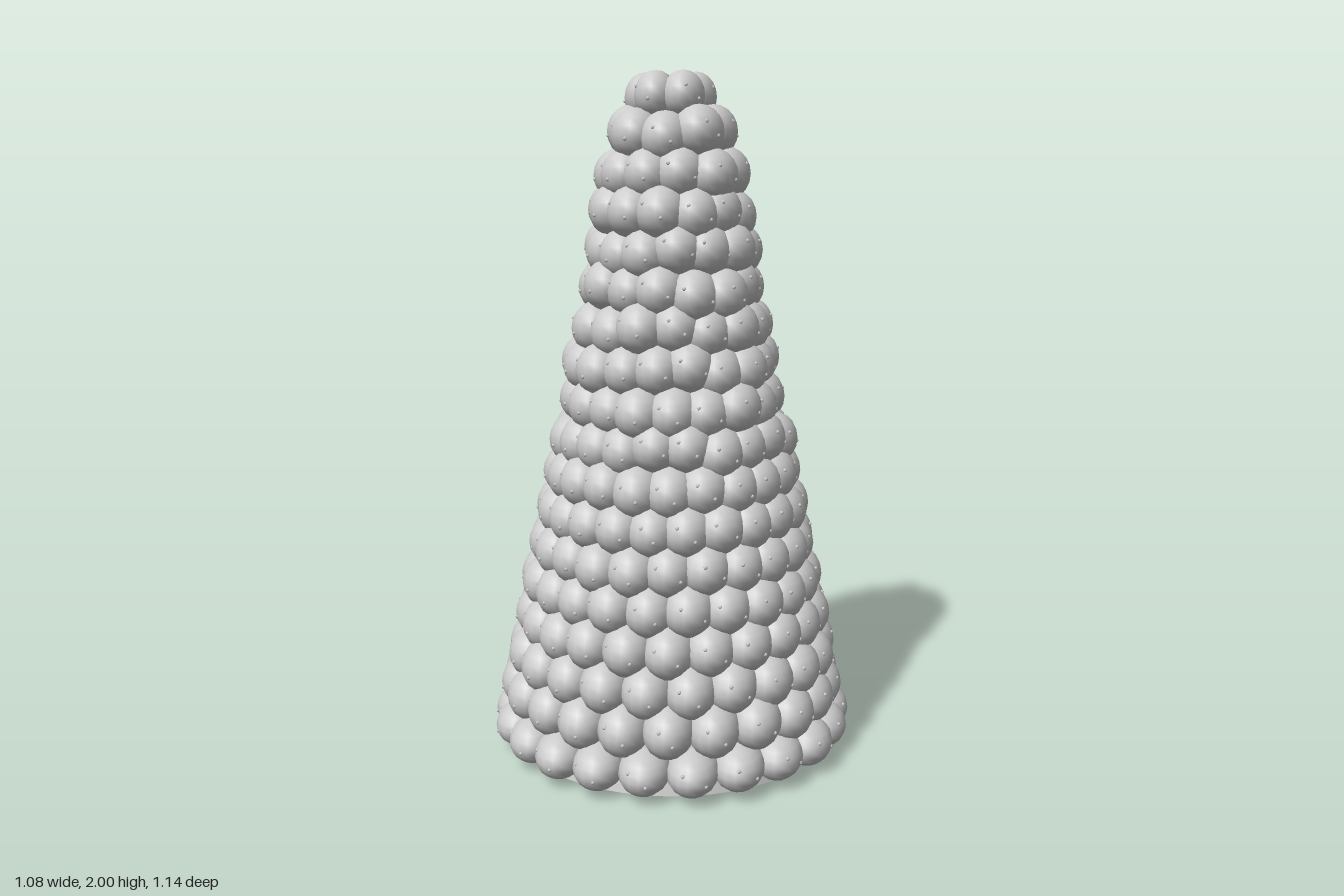
import * as THREE from 'three';
import { mergeGeometries } from 'three/addons/utils/BufferGeometryUtils.js';

const ROWS = 18;
const MAX_COLUMNS = 22;

// Radius of the tapering wall at height y, slightly fuller near the upper third
const wallRadius = (y) => 0.487 - 0.207 * y + 0.02 * Math.exp(-(((y - 1.65) / 0.16) ** 2));

// Small seeded generator, returns -1..1
function seeded(seed) {
  let s = seed;
  return () => {
    s = (s * 16807) % 2147483647;
    return (s / 2147483647) * 2 - 1;
  };
}

// Flatten the inner side of a scale against the wall, so the interior stays hollow
function flattenInside(geometry, angle) {
  const p = geometry.attributes.position;
  const sin = Math.sin(angle), cos = Math.cos(angle);
  for (let i = 0; i < p.count; i++) {
    const x = p.getX(i), y = p.getY(i), z = p.getZ(i);
    const along = x * sin + z * cos;
    const across = x * cos - z * sin;
    const min = wallRadius(y) - 0.025;
    const depth = Math.sqrt(Math.max(0, min * min - across * across));
    if (along < depth) p.setXYZ(i, depth * sin + across * cos, y, depth * cos - across * sin);
  }
  geometry.computeVertexNormals();
  return geometry;
}

export function createModel() {
  const group = new THREE.Group();
  const material = new THREE.MeshStandardMaterial({ color: 0xcccccc, side: THREE.DoubleSide });
  const random = seeded(4177);

  // Hollow tapering core, open at both ends
  const height = 1.94;
  const core = new THREE.Mesh(
    new THREE.CylinderGeometry(wallRadius(height) - 0.02, wallRadius(0) - 0.015, height, 48, 1, true),
    material
  );
  core.position.y = height / 2;
  core.name = 'hollowCore';
  group.add(core);

  // Staggered, overlapping rings of rounded scales, all longest from front to back
  for (let row = 0; row < ROWS; row++) {
    const last = row === ROWS - 1;
    const rowY = 0.076 + (row * 1.85) / (ROWS - 1);
    const radius = wallRadius(rowY) - (last ? 0.015 : 0);
    const count = Math.min(MAX_COLUMNS, Math.round((Math.PI * 2 * radius) / 0.092));
    const wobble = row < 8 ? 0.004 : 0.012;
    const size = last ? [0.062, 0.072, 0.09] : [0.074, row ? 0.078 : 0.066, 0.104];
    const scales = [];
    const pips = [];

    for (let i = 0; i < count; i++) {
      const angle = ((i + (row % 2) * 0.5) / count) * Math.PI * 2;
      const r = radius + random() * wobble;
      const y = rowY + (row > 0 && !last ? random() * wobble : 0);
      const cx = Math.sin(angle) * r, cz = Math.cos(angle) * r;

      const scale = new THREE.SphereGeometry(1, 16, 10);
      scale.scale(...size).translate(cx, y, cz);
      scales.push(flattenInside(scale, angle));

      // Two tiny pips half sunk into the outer face of each scale
      for (const [turn, lift] of [[-0.45, 0.35], [0.4, -0.15]]) {
        const a = angle + turn + random() * 0.2;
        const flat = Math.sqrt(1 - lift * lift) * 0.97;
        const pip = new THREE.SphereGeometry(0.006, 6, 4);
        pip.translate(
          cx + Math.sin(a) * flat * size[0],
          y + lift * size[1],
          cz + Math.cos(a) * flat * size[2]
        );
        pips.push(pip);
      }
    }

    const ring = new THREE.Group();
    ring.name = `scaleRing${row + 1}`;
    const scaleMesh = new THREE.Mesh(mergeGeometries(scales), material);
    scaleMesh.name = 'scales';
    const pipMesh = new THREE.Mesh(mergeGeometries(pips), material);
    pipMesh.name = 'pips';
    ring.add(scaleMesh, pipMesh);
    group.add(ring);
  }

  return group;
}
